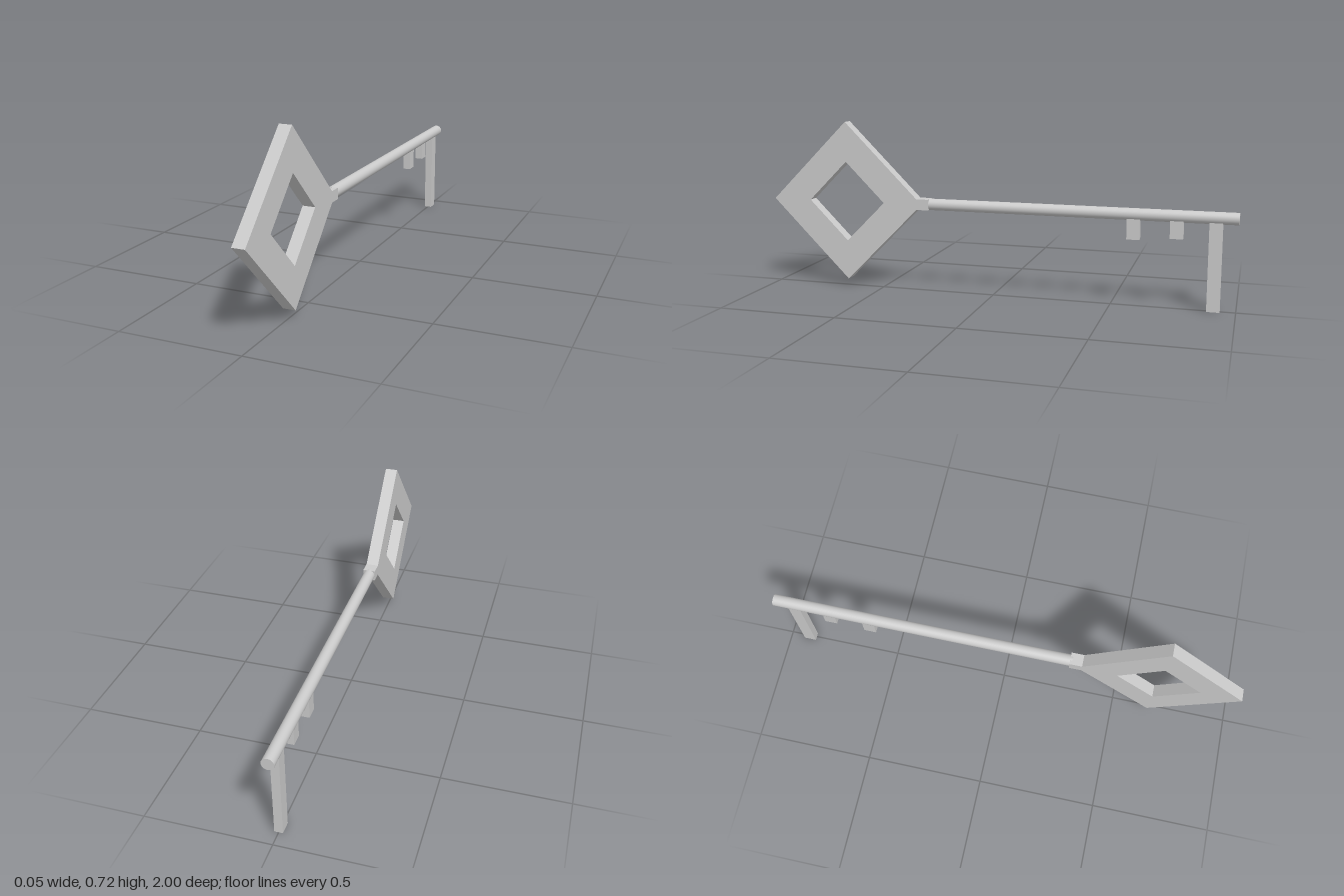
import * as THREE from 'three';

export function createModel() {
  const key = new THREE.Group();
  key.name = 'key';
  const material = new THREE.MeshStandardMaterial({ color: 0xcccccc });
  const axisY = 0.378;

  const add = (name, geometry, x, y, z) => {
    const mesh = new THREE.Mesh(geometry, material);
    mesh.name = name;
    mesh.position.set(x, y, z);
    key.add(mesh);
  };

  // Diamond bow with its short square neck, drawn in the z-y plane
  const R = 0.345, r = 0.173, centerZ = 0.655, neck = 0.023, neckEnd = 0.28 - centerZ;
  const outline = new THREE.Shape([
    [R, 0], [0, R], [neck - R, neck], [neckEnd, neck],
    [neckEnd, -neck], [neck - R, -neck], [0, -R],
  ].map(([z, y]) => new THREE.Vector2(z, y)));
  outline.holes.push(new THREE.Path(
    [[r, 0], [0, -r], [-r, 0], [0, r]].map(([z, y]) => new THREE.Vector2(z, y))));
  const thickness = 0.052;
  const bow = new THREE.ExtrudeGeometry(outline, { depth: thickness, bevelEnabled: false });
  bow.translate(0, 0, -thickness / 2).rotateY(-Math.PI / 2);
  add('bow', bow, 0, axisY, centerZ);

  // Round shaft, slightly sunk into the neck
  const front = 0.29, back = -1;
  const shaft = new THREE.CylinderGeometry(0.0245, 0.0245, front - back, 32).rotateX(Math.PI / 2);
  add('shaft', shaft, 0, axisY, (front + back) / 2);

  // Teeth hanging below the shaft: [name, z, bottom y]
  const teeth = [['innerTooth', -0.588, 0.276], ['middleTooth', -0.76, 0.288], ['endTooth', -0.912, 0]];
  const top = axisY - 0.012;
  for (const [name, z, bottom] of teeth) {
    add(name, new THREE.BoxGeometry(0.033, top - bottom, 0.052), 0, (top + bottom) / 2, z);
  }
  return key;
}
